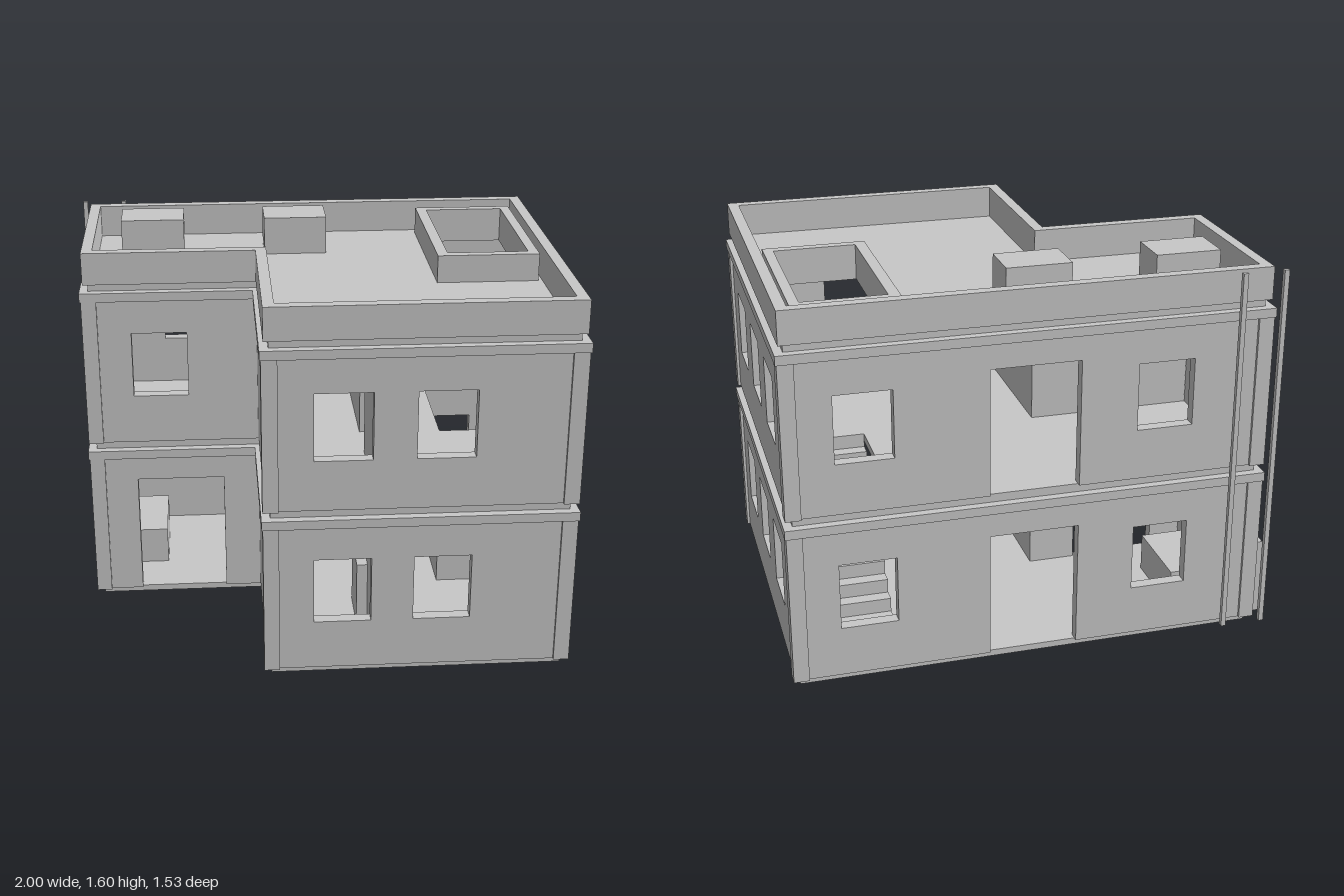
import * as THREE from 'three';

const BASE = 0.027, FLOOR_H = 0.708, WALL_H = 0.635, LEDGE_H = 0.038;
const RECESS = 0.012, THICK = 0.05, PILLAR = 0.063;

export function createModel() {
  const concrete = new THREE.MeshStandardMaterial({ color: 0xc8c8c8 });
  concrete.name = 'concrete grey';
  const model = new THREE.Group();
  model.name = 'building';

  const add = (name, geo, parent = model) => {
    const mesh = new THREE.Mesh(geo, concrete);
    mesh.name = name;
    parent.add(mesh);
    return mesh;
  };
  // Box given by its limits on each axis
  const box = (name, x0, x1, y0, y1, z0, z1, parent = model) => {
    const mesh = add(name, new THREE.BoxGeometry(x1 - x0, y1 - y0, z1 - z0), parent);
    mesh.position.set((x0 + x1) / 2, (y0 + y1) / 2, (z0 + z1) / 2);
  };

  // L-shaped floor plan, grown outwards by o
  const plan = (o) => [
    [-0.96 - o, -0.72 - o], [0.995 + o, -0.72 - o], [0.995 + o, 0.76 + o],
    [-0.25 - o, 0.76 + o], [-0.25 - o, 0.05 + o], [-0.96 - o, 0.05 + o],
  ];
  const rect = (x0, x1, z0, z1) => [[x0, z0], [x1, z0], [x1, z1], [x0, z1]];
  // Reversed so that outlines run counter-clockwise once z is flipped
  const toPoints = (pts) => pts.map(([x, z]) => new THREE.Vector2(x, -z)).reverse();
  // Horizontal plate from y0 to y1 with an optional opening
  const plate = (name, outline, opening, y0, y1) => {
    const shape = new THREE.Shape(toPoints(outline));
    if (opening) shape.holes.push(new THREE.Path(toPoints(opening)));
    const geo = new THREE.ExtrudeGeometry(shape, { depth: y1 - y0, bevelEnabled: false });
    geo.rotateX(-Math.PI / 2);
    add(name, geo).position.y = y0;
  };

  // Upright wall: u runs to the right as seen from outside
  const wall = (name, angle, dist, u0, u1, y, windows = [], doors = [], doorH = 0.53, height = WALL_H) => {
    const pts = [[u0, 0]];
    for (const [a, b] of doors) pts.push([a, 0], [a, doorH], [b, doorH], [b, 0]);
    pts.push([u1, 0], [u1, height], [u0, height]);
    const shape = new THREE.Shape(pts.map((p) => new THREE.Vector2(...p)));
    for (const [a, b] of windows) {
      shape.holes.push(new THREE.Path(
        [[a, 0.21], [b, 0.21], [b, 0.49], [a, 0.49]].map((p) => new THREE.Vector2(...p))));
    }
    const geo = new THREE.ExtrudeGeometry(shape, { depth: THICK, bevelEnabled: false });
    geo.translate(0, 0, dist - RECESS - THICK);
    geo.rotateY(angle);
    add(name, geo).position.y = y;
  };

  const stairwell = rect(0.548, 0.882, -0.58, 0.065);

  // Slabs under each storey and under the roof
  plate('groundSlab', plan(-0.03), null, 0, BASE);
  plate('upperFloorSlab', plan(-0.03), stairwell, 0.70, BASE + FLOOR_H);
  plate('roofSlab', plan(-0.03), stairwell, 1.408, 1.44);

  // Two storeys of walls, corner pillars and ledges
  for (let i = 0; i < 2; i++) {
    const y = BASE + i * FLOOR_H;
    wall('wingFrontWall', 0, 0.76, -0.19, 0.935, y, [[-0.05, 0.18], [0.35, 0.58]]);
    wall('setBackFrontWall', 0, 0.05, -0.90, -0.238, y,
      i ? [[-0.76, -0.53]] : [], i ? [] : [[-0.76, -0.39]]);
    wall('backWall', Math.PI, 0.72, -0.935, 0.90, y,
      [[-0.795, -0.565], [0.41, 0.64]], [[-0.19, 0.175]]);
    wall('rightSideWall', Math.PI / 2, 0.995, -0.70, 0.66, y,
      [[-0.56, -0.33], [-0.16, 0.07], [0.24, 0.47]]);
    wall('outerLeftWall', -Math.PI / 2, 0.96, -0.66, -0.01, y, [[-0.53, -0.30]]);
    wall('wingSideWall', -Math.PI / 2, 0.25, -0.012, 0.70, y);
    // Indoor wall from back to front with one doorway
    wall('partition', -Math.PI / 2, -0.188, -0.66, 0.70, y,
      [], [[i ? 0 : 0.07, 0.20]], 0.48, WALL_H + LEDGE_H);

    // Corner pillars
    const p = PILLAR;
    for (const [x, z] of [[-0.96, -0.72], [0.995 - p, -0.72], [0.995 - p, 0.76 - p], [-0.25, 0.76 - p], [-0.96, 0.05 - p]]) {
      box('cornerPillar', x, x + p, y, y + WALL_H, z, z + p);
    }
    plate('ledge', plan(0.005), plan(-0.062), y + WALL_H, y + WALL_H + LEDGE_H);
  }

  // Roof parapet, stairwell curb and roof boxes
  plate('parapet', plan(-0.01), plan(-0.055), 1.44, 1.575);
  plate('stairwellCurb', rect(0.503, 0.923, -0.62, 0.105), stairwell, 1.44, 1.555);
  for (const x of [-0.80, -0.188]) box('roofBox', x, x + 0.267, 1.44, 1.60, -0.53, -0.34);

  // Stairs climbing from the back towards the front
  const stairs = new THREE.Group();
  stairs.name = 'stairs';
  model.add(stairs);
  const steps = 12, going = 0.645 / steps, rise = FLOOR_H / steps;
  for (let i = 0; i < steps; i++) {
    const z = -0.58 + i * going;
    box('step', 0.548, 0.882, BASE, BASE + rise * (i + 1), z, z + going, stairs);
  }

  // Simple furniture blocks
  box('lowBed', -0.89, -0.65, BASE, 0.19, -0.55, -0.20);
  box('lowerTable', 0.155, 0.39, BASE, 0.305, 0.20, 0.41);
  box('upperTable', 0.25, 0.39, BASE + FLOOR_H, 1.005, -0.36, 0);

  // Drainpipes and the utility cabinet
  for (const x of [-0.987, -0.817]) box('drainpipe', x, x + 0.02, BASE, 1.575, -0.765, -0.745);
  box('utilityCabinet', -1.0, -0.94, BASE, 0.355, -0.68, -0.49);

  return model;
}
